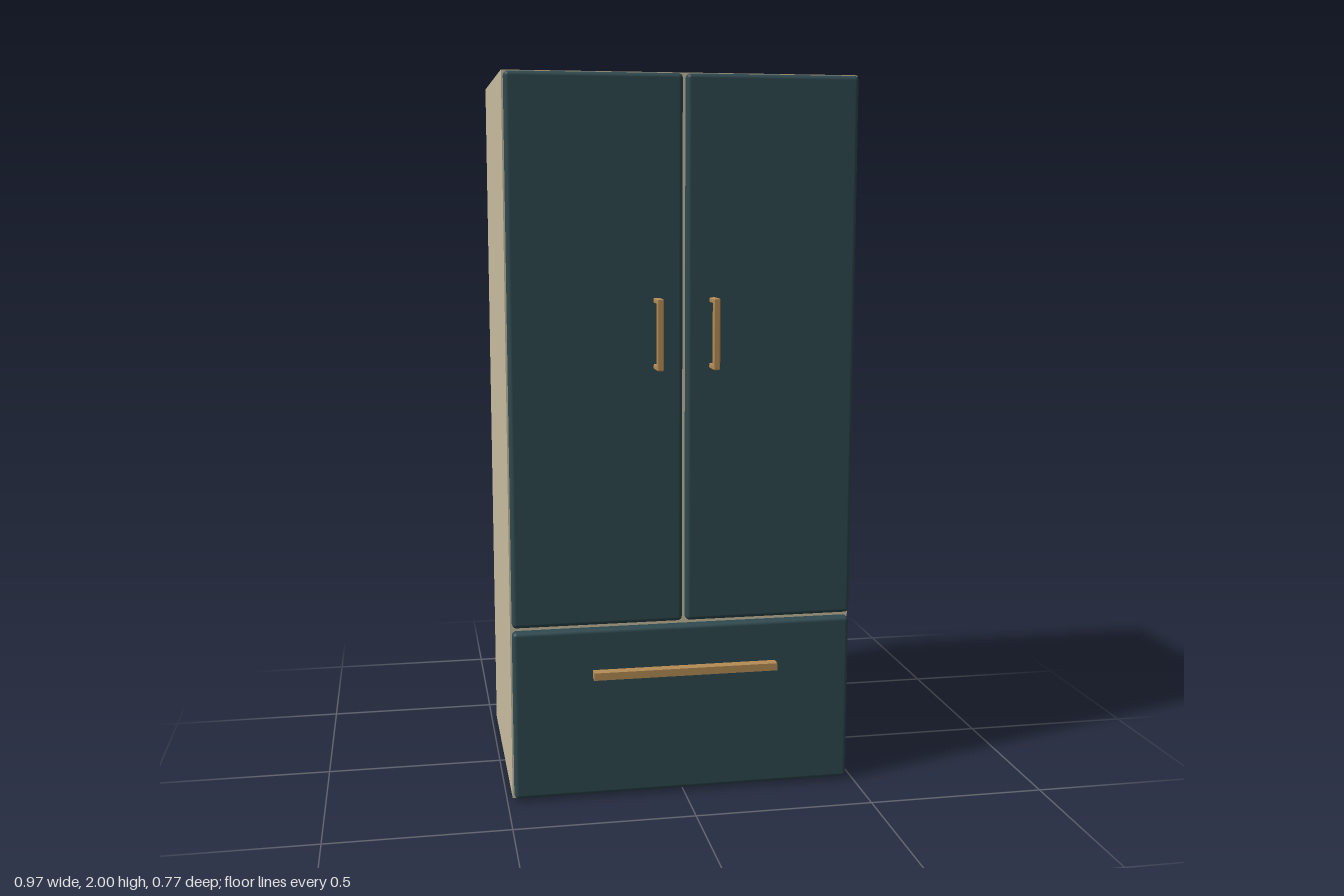
import * as THREE from 'three';
import { RoundedBoxGeometry } from 'three/addons/geometries/RoundedBoxGeometry.js';

const material = (name, color) => {
  const m = new THREE.MeshStandardMaterial({ color });
  m.name = name;
  return m;
};

export function createModel() {
  const cream = material('cream cabinet', 0xc9bea0);
  const teal = material('dark teal panel', 0x2f4a50);
  const brass = material('brass handle', 0xb58d55);

  const model = new THREE.Group();
  model.name = 'refrigerator';

  // Box spanning x0..x1, y0..y1, z0..z1, with optional rounded edges
  const box = (parent, name, mat, [x0, x1], [y0, y1], [z0, z1], radius = 0) => {
    const size = [x1 - x0, y1 - y0, z1 - z0];
    const geometry = radius
      ? new RoundedBoxGeometry(...size, 4, radius)
      : new THREE.BoxGeometry(...size);
    const mesh = new THREE.Mesh(geometry, mat);
    mesh.name = name;
    mesh.position.set((x0 + x1) / 2, (y0 + y1) / 2, (z0 + z1) / 2);
    parent.add(mesh);
  };

  // Cabinet
  box(model, 'cabinet', cream, [-0.484, 0.484], [0, 2], [-0.386, 0.29]);

  // Mirrored upper doors, each with a bracket handle near the centre gap
  for (const [side, s] of [['left', 1], ['right', -1]]) {
    const span = (a, b) => (s > 0 ? [a, b] : [-b, -a]);
    box(model, `${side}Door`, teal, span(0.005, 0.48), [0.5, 1.996], [0.289, 0.325], 0.012);

    const handle = new THREE.Group();
    handle.name = `${side}DoorHandle`;
    const x = span(0.068, 0.086);
    box(handle, 'grip', brass, x, [1.21, 1.403], [0.364, 0.385], 0.003);
    box(handle, 'lowerPost', brass, x, [1.21, 1.224], [0.322, 0.37], 0.003);
    box(handle, 'upperPost', brass, x, [1.389, 1.403], [0.322, 0.37], 0.003);
    model.add(handle);
  }

  // Bottom freezer drawer and its long bar handle
  box(model, 'drawer', teal, [-0.48, 0.48], [0.008, 0.488], [0.289, 0.325], 0.012);
  box(model, 'drawerHandle', brass, [-0.26, 0.26], [0.354, 0.375], [0.334, 0.365]);

  return model;
}
